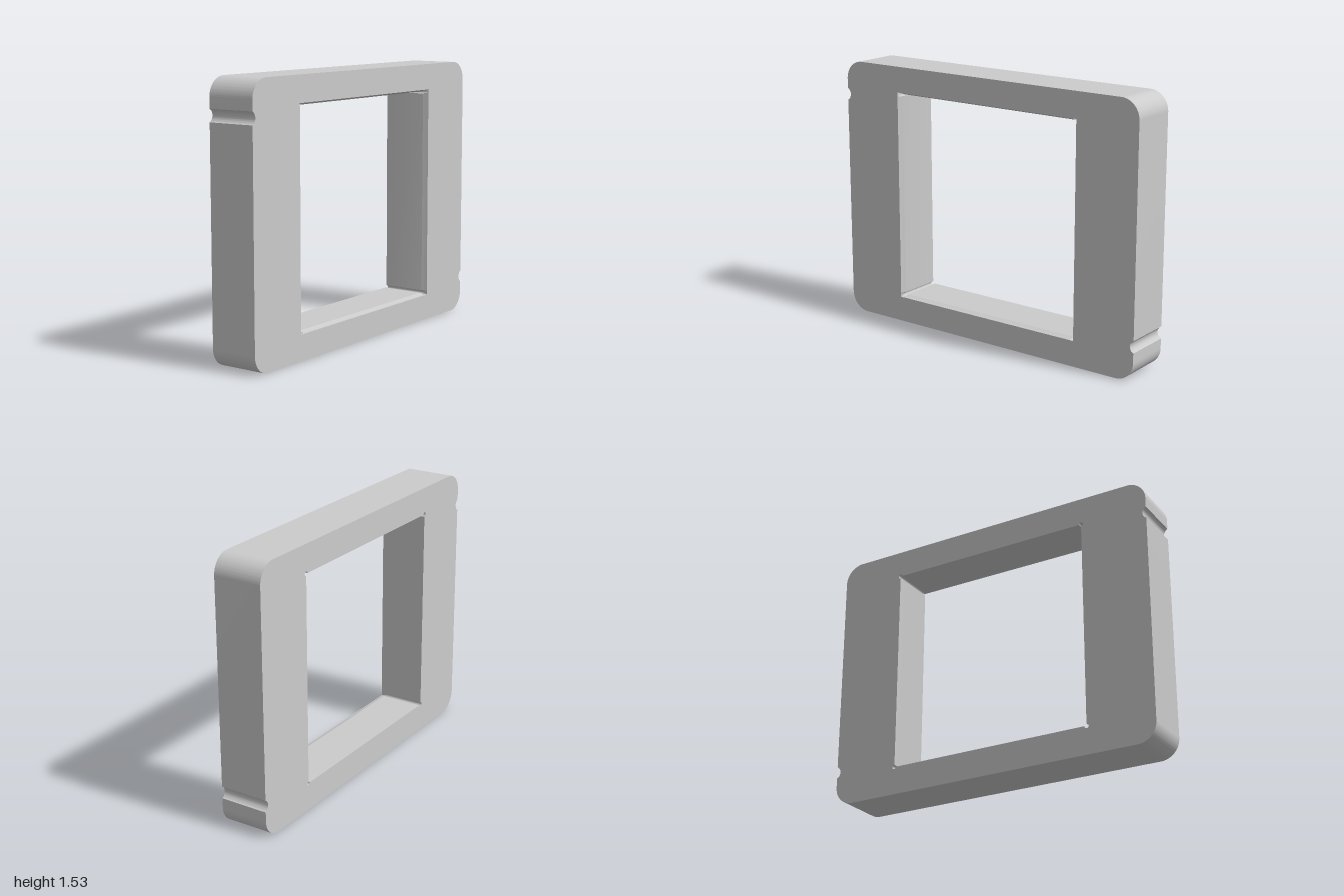
import * as THREE from 'three';
import { toCreasedNormals } from 'three/addons/utils/BufferGeometryUtils.js';

const HALF_W = 1, HALF_H = 0.765, DEPTH = 0.284;
const CORNER = 0.11;                                  // outer corner radius
const OPENING = 0.604, RELIEF = 0.013;                // half opening, corner relief radius
const CHAMFER_OPENING = 0.616, CHAMFER_DEPTH = 0.03;  // widened front edge of the opening
const NOTCH_Y = 0.565, NOTCH_HALF = 0.035, NOTCH_R = 0.039;

// Rounded rectangle with a shallow round notch low on the left side and high on the right
function outline() {
  const shape = new THREE.Shape();
  const x = HALF_W - CORNER, y = HALF_H - CORNER;
  const a = Math.asin(NOTCH_HALF / NOTCH_R);
  const notchX = HALF_W + NOTCH_R * Math.cos(a);
  shape.absarc(x, -y, CORNER, -Math.PI / 2, 0);
  shape.absarc(notchX, -NOTCH_Y, NOTCH_R, Math.PI + a, Math.PI - a, true);
  shape.absarc(x, y, CORNER, 0, Math.PI / 2);
  shape.absarc(-x, y, CORNER, Math.PI / 2, Math.PI);
  shape.absarc(-notchX, NOTCH_Y, NOTCH_R, a, -a, true);
  shape.absarc(-x, -y, CORNER, Math.PI, Math.PI * 1.5);
  shape.closePath();
  return shape;
}

// Square opening with a small round relief in each corner
function opening() {
  const path = new THREE.Path();
  [[1, -1], [1, 1], [-1, 1], [-1, -1]].forEach(([sx, sy], i) => {
    const start = Math.PI * (i / 2 - 1);
    path.absarc(sx * OPENING, sy * OPENING, RELIEF, start, start + Math.PI * 1.5);
  });
  path.closePath();
  return path;
}

export function createModel() {
  const group = new THREE.Group();
  group.name = 'rectangularFrame';

  const shape = outline();
  shape.holes.push(opening());
  const geometry = new THREE.ExtrudeGeometry(shape, {
    depth: DEPTH, steps: 2, bevelEnabled: false, curveSegments: 16,
  });

  // Chamfer the front of the opening: shift the middle ring forward, widen the front ring
  const pos = geometry.attributes.position;
  const widen = (v) => Math.abs(v) > OPENING - 0.001
    ? Math.sign(v) * Math.max(Math.abs(v), CHAMFER_OPENING) : v;
  for (let i = 0; i < pos.count; i++) {
    const z = pos.getZ(i);
    if (Math.abs(z - DEPTH / 2) < 0.001) pos.setZ(i, DEPTH - CHAMFER_DEPTH);
    else if (z > DEPTH - 0.001 && Math.abs(pos.getX(i)) < 0.65) {
      pos.setXY(i, widen(pos.getX(i)), widen(pos.getY(i)));
    }
  }
  geometry.translate(0, HALF_H, -DEPTH / 2);
  geometry.computeVertexNormals();

  const frame = new THREE.Mesh(
    toCreasedNormals(geometry, Math.PI / 9),
    new THREE.MeshStandardMaterial({ color: 0xcccccc }),
  );
  frame.name = 'frame';
  group.add(frame);
  return group;
}
